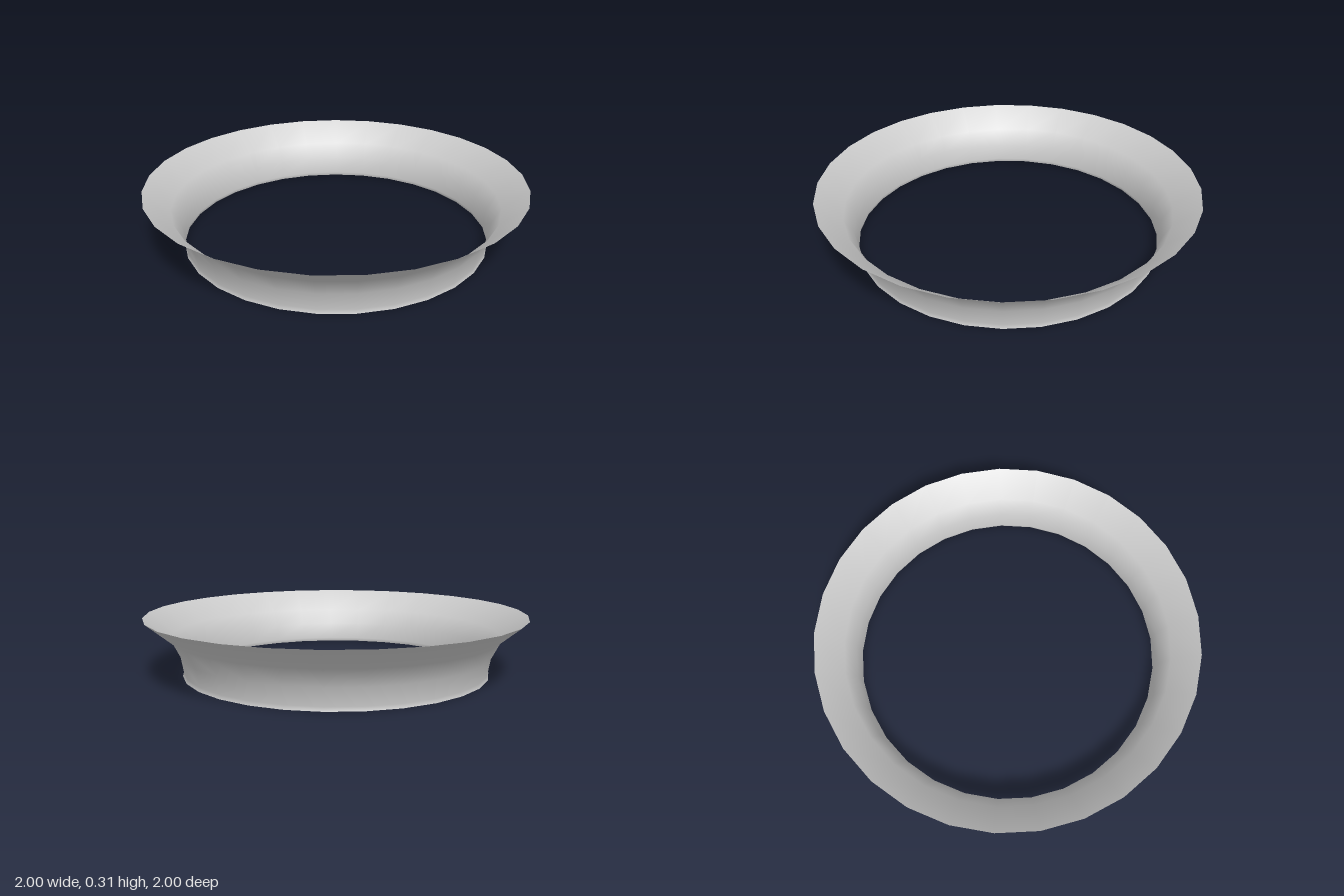
import * as THREE from 'three';

export function createModel() {
  const group = new THREE.Group();
  const sides = 29;

  // Profile from the slightly turned-out foot up to the wide flared rim
  const profile = [
    [0.812, 0], [0.806, 0.02], [0.822, 0.11], [0.868, 0.2], [1.002, 0.31],
  ].map(([r, y]) => new THREE.Vector2(r, y));

  // Open, thin-walled ring with one corner pointing to +x
  const start = -Math.PI / 2 + Math.PI / sides;
  const geometry = new THREE.LatheGeometry(profile, sides, start, Math.PI * 2);
  geometry.translate(-0.003, 0, 0);

  const flaredRing = new THREE.Mesh(
    geometry,
    new THREE.MeshStandardMaterial({ color: 0xcccccc, side: THREE.DoubleSide }),
  );
  flaredRing.name = 'flaredRing';
  group.add(flaredRing);
  return group;
}
